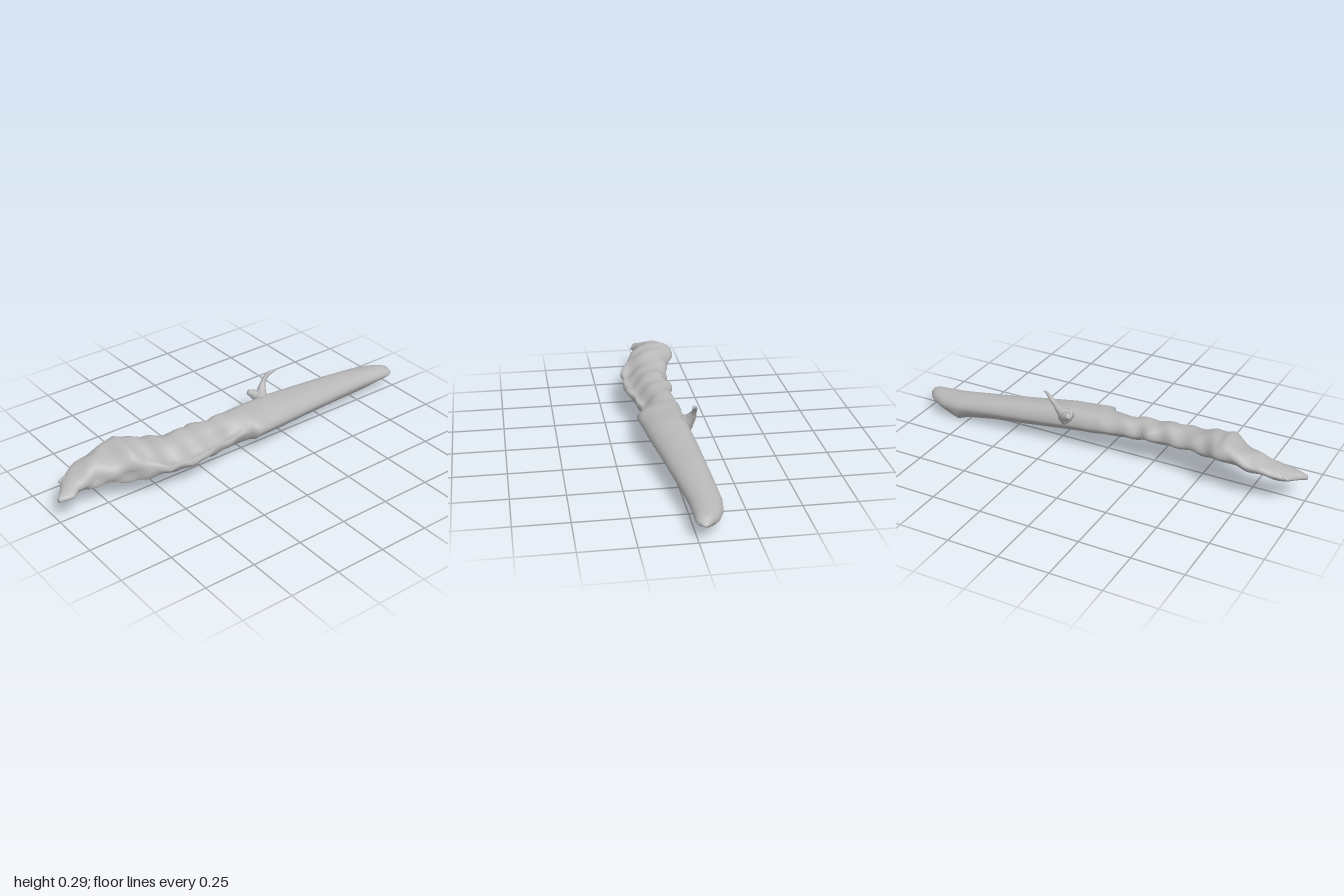
import * as THREE from 'three';

// Extremes of the log's cross-section along its length.
// crest and keel: [x, y, z]; back and front edges: [x, z, y].
const crest = [[-1, .135, .005], [-.95, .155, -.02], [-.87, .19, -.06], [-.8, .215, -.07], [-.7, .235, -.08],
  [-.64, .272, -.09], [-.6, .255, -.06], [-.53, .245, -.02], [-.45, .222, -.01], [-.3, .22, -.01], [-.1, .207, -.02],
  [.2, .204, -.04], [.4, .18, -.05], [.6, .157, -.06], [.8, .132, -.06], [.95, .115, -.045], [.98, .105, -.04], [1, .08, -.03]];
const keel = [[-1, .11, .005], [-.87, .11, -.02], [-.75, .115, .02], [-.6, .11, .08], [-.4, .1, .085], [-.2, .09, .065],
  [0, .075, .045], [.2, .06, .015], [.4, .045, -.015], [.6, .03, -.04], [.75, .014, -.07], [.8, .002, -.09],
  [.84, .012, -.085], [.9, .032, -.07], [.97, .055, -.045], [1, .072, -.03]];
const back = [[-1, -.005, .125], [-.97, -.035, .13], [-.93, -.1, .145], [-.88, -.12, .16], [-.8, -.14, .18], [-.7, -.147, .2],
  [-.6, -.14, .2], [-.54, -.11, .18], [-.4, -.08, .165], [-.3, -.072, .16], [-.25, -.088, .16], [-.2, -.07, .155],
  [0, -.092, .145], [.2, -.1, .13], [.4, -.115, .115], [.6, -.125, .1], [.8, -.135, .08], [.88, -.125, .075],
  [.95, -.095, .075], [.98, -.065, .08], [1, -.038, .077]];
const front = [[-1, .015, .12], [-.97, .025, .125], [-.93, .035, .13], [-.9, .008, .135], [-.8, .008, .15], [-.7, .045, .17],
  [-.62, .085, .18], [-.55, .125, .165], [-.5, .135, .15], [-.4, .142, .14], [-.3, .135, .14], [-.2, .112, .14],
  [-.1, .095, .14], [0, .09, .14], [.02, .125, .14], [.1, .112, .135], [.2, .1, .13], [.4, .067, .115],
  [.6, .037, .1], [.8, .01, .085], [.9, .008, .08], [.96, .008, .08], [.98, .002, .08], [1, -.02, .077]];

function sample(table, x) {
  let i = 1;
  while (i < table.length - 1 && table[i][0] < x) i++;
  const a = table[i - 1], b = table[i];
  const t = THREE.MathUtils.clamp((x - a[0]) / (b[0] - a[0]), 0, 1);
  return [a[1] + (b[1] - a[1]) * t, a[2] + (b[2] - a[2]) * t];
}

// Skins a list of rings of Vector3 and closes both ends
function loft(rings) {
  const n = rings[0].length, pos = [], index = [];
  rings.forEach(r => r.forEach(p => pos.push(p.x, p.y, p.z)));
  for (let i = 0; i < rings.length - 1; i++) {
    for (let j = 0; j < n; j++) {
      const a = i * n + j, b = i * n + (j + 1) % n;
      index.push(a, b, a + n, b, b + n, a + n);
    }
  }
  [0, rings.length - 1].forEach((k, end) => {
    const c = rings[k].reduce((s, p) => s.add(p), new THREE.Vector3()).divideScalar(n);
    const ci = pos.length / 3;
    pos.push(c.x, c.y, c.z);
    for (let j = 0; j < n; j++) {
      const a = k * n + j, b = k * n + (j + 1) % n;
      index.push(...(end ? [ci, a, b] : [ci, b, a]));
    }
  });
  const g = new THREE.BufferGeometry();
  g.setAttribute('position', new THREE.Float32BufferAttribute(pos, 3));
  g.setIndex(index);
  g.computeVertexNormals();
  return g;
}

// One closed section: four rounded quarters joining crest, back, keel and front
function logRing(x) {
  const [ty, tz] = sample(crest, x), [by, bz] = sample(keel, x);
  const [kz, ky] = sample(back, x), [fz, fy] = sample(front, x);
  const ring = [], sides = 40;
  // Hollow running along the upper front of the broken half
  const hollow = THREE.MathUtils.smoothstep(x, -.62, -.48) * (1 - THREE.MathUtils.smoothstep(x, -.12, .02));
  for (let j = 0; j < sides; j++) {
    const a = j / sides * Math.PI * 2, c = Math.cos(a), s = Math.sin(a);
    const up = c >= 0, toBack = s < 0;
    const e = up ? 1 : 1.25;
    const pc = Math.pow(Math.abs(c), e), ps = Math.pow(Math.abs(s), e);
    const z0 = up ? tz : bz, y0 = toBack ? ky : fy;
    let z = z0 + ((toBack ? kz : fz) - z0) * ps;
    let y = y0 + ((up ? ty : by) - y0) * pc;
    if (up && !toBack) y -= hollow * .035 * Math.exp(-(((a - .85) / .35) ** 2));
    // Weathered lumps, strongest towards the broken end
    const w = .0035 * (1 - THREE.MathUtils.smoothstep(x, -.3, .2)) * THREE.MathUtils.smoothstep(x, -1, -.85);
    const lump = w * (Math.sin(x * 31 + a * 3) + Math.sin(x * 53 - a * 2));
    ring.push(new THREE.Vector3(x, y + lump * c, z + lump * s));
  }
  return ring;
}

// Tapered twig through [x, y, z, radius] points
function twig(points) {
  const curve = new THREE.CatmullRomCurve3(points.map(p => new THREE.Vector3(p[0], p[1], p[2])));
  const steps = 20, frames = curve.computeFrenetFrames(steps), rings = [];
  for (let i = 0; i <= steps; i++) {
    const t = i / steps, c = curve.getPoint(t), f = t * (points.length - 1);
    const k = Math.min(Math.floor(f), points.length - 2);
    const r = THREE.MathUtils.lerp(points[k][3], points[k + 1][3], f - k);
    rings.push(Array.from({ length: 10 }, (_, j) => {
      const a = j / 10 * Math.PI * 2;
      return c.clone().addScaledVector(frames.normals[i], Math.cos(a) * r)
        .addScaledVector(frames.binormals[i], Math.sin(a) * r);
    }));
  }
  return loft(rings);
}

export function createModel() {
  const group = new THREE.Group();
  const wood = new THREE.MeshStandardMaterial({ color: 0xb8b8b8, side: THREE.DoubleSide });
  wood.name = 'grey wood';
  const add = (name, geometry) => {
    const mesh = new THREE.Mesh(geometry, wood);
    mesh.name = name;
    group.add(mesh);
  };

  // Rings ordered so that the skin faces outwards
  const rings = [];
  for (let i = 0; i <= 100; i++) rings.push(logRing(-1 + i * .02).reverse());
  add('log', loft(rings));

  // Side branch with a curled tip, and the broken stub beside it
  add('branch', twig([[.18, .165, -.075, .045], [.2, .2, -.1, .024], [.22, .235, -.113, .013],
    [.245, .268, -.115, .011], [.268, .284, -.107, .008], [.29, .288, -.1, .004]]));
  add('branchStub', twig([[.19, .17, -.085, .034], [.165, .19, -.112, .024], [.14, .203, -.13, .012]]));

  // Splinters at the broken end
  add('splinterFront', twig([[-.9, .14, -.02, .02], [-.96, .13, .01, .012], [-.99, .12, .01, .006]]));
  add('splinterBack', twig([[-.86, .16, -.07, .025], [-.92, .15, -.085, .015], [-.945, .145, -.088, .006]]));
  return group;
}
